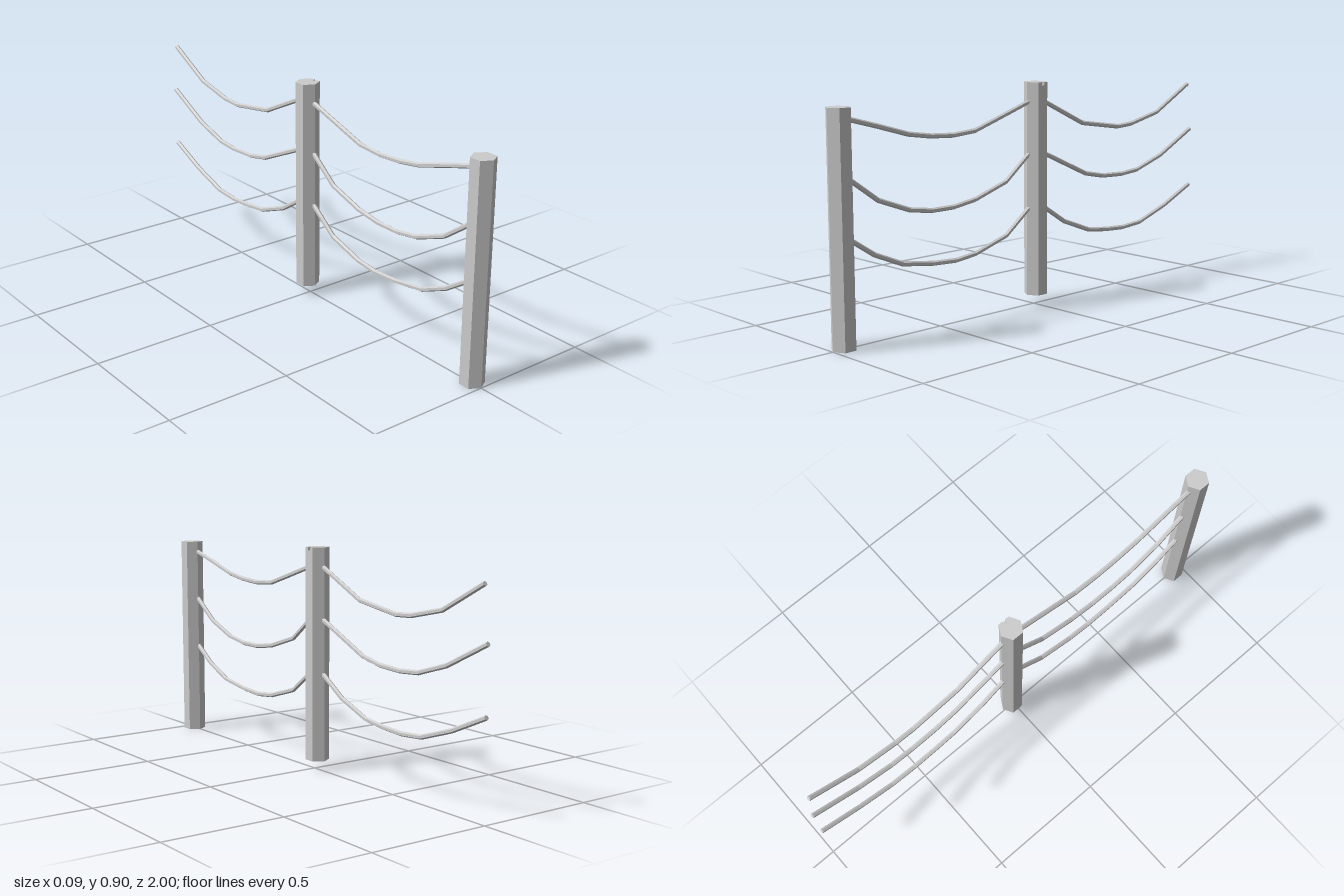
import * as THREE from 'three';

const WIRE_X = -0.003;
const WIRE_R = 0.0098;
const POST_R = 0.048;
const SIDES = 6;

const material = new THREE.MeshStandardMaterial({ color: 0xcccccc, flatShading: true });

// Sagging wires as [z, y] points, front to back
const frontWires = [
  [[0.93, 0.83], [0.778, 0.789], [0.639, 0.749], [0.532, 0.733], [0.425, 0.727], [0.313, 0.735], [0.168, 0.781], [0.01, 0.832]],
  [[0.93, 0.625], [0.783, 0.521], [0.639, 0.468], [0.532, 0.452], [0.425, 0.452], [0.313, 0.468], [0.152, 0.519], [0.02, 0.622]],
  [[0.93, 0.405], [0.805, 0.324], [0.676, 0.27], [0.527, 0.249], [0.414, 0.243], [0.313, 0.254], [0.152, 0.302], [0.02, 0.402]],
];
const backWires = [
  [[-0.03, 0.838], [-0.286, 0.719], [-0.505, 0.687], [-0.591, 0.692], [-0.762, 0.73], [-0.973, 0.842]],
  [[-0.03, 0.627], [-0.307, 0.505], [-0.414, 0.484], [-0.532, 0.479], [-0.634, 0.487], [-0.789, 0.535], [-0.995, 0.637]],
  [[-0.03, 0.412], [-0.179, 0.318], [-0.329, 0.262], [-0.436, 0.249], [-0.543, 0.243], [-0.655, 0.251], [-0.821, 0.305], [-0.995, 0.382]],
];

function addMesh(parent, name, geometry) {
  const mesh = new THREE.Mesh(geometry, material);
  mesh.name = name;
  parent.add(mesh);
  return mesh;
}

// Sweep a hexagon along a path in the z-y plane, closed at both ends
function wireGeometry(path) {
  const positions = [];
  const index = [];
  const pts = path.map(([z, y]) => new THREE.Vector2(z, y));
  const last = pts.length - 1;
  pts.forEach((p, i) => {
    const t = pts[Math.min(i + 1, last)].clone().sub(pts[Math.max(i - 1, 0)]).normalize();
    for (let k = 0; k < SIDES; k++) {
      const a = (k / SIDES) * Math.PI * 2;
      const up = Math.cos(a) * WIRE_R;
      positions.push(WIRE_X + Math.sin(a) * WIRE_R, p.y - t.x * up, p.x + t.y * up);
    }
  });
  for (let i = 0; i < last; i++) {
    for (let k = 0; k < SIDES; k++) {
      const a = i * SIDES + k;
      const b = i * SIDES + ((k + 1) % SIDES);
      index.push(a, b, a + SIDES, b, b + SIDES, a + SIDES);
    }
  }
  const end = last * SIDES;
  for (let k = 1; k < SIDES - 1; k++) {
    index.push(0, k + 1, k, end, end + k, end + k + 1);
  }
  const geometry = new THREE.BufferGeometry();
  geometry.setAttribute('position', new THREE.Float32BufferAttribute(positions, 3));
  geometry.setIndex(index);
  geometry.computeVertexNormals();
  return geometry;
}

function postShaft(height) {
  return new THREE.CylinderGeometry(POST_R, POST_R, height, SIDES).translate(0, height / 2, 0);
}

// Hexagonal slab with a small wedge cut into its +x face
function notchedCap(height) {
  const flat = POST_R * Math.cos(Math.PI / 6);
  const shape = new THREE.Shape();
  shape.moveTo(flat, -POST_R / 2);
  shape.lineTo(flat, -0.007);
  shape.lineTo(0.022, 0);
  shape.lineTo(flat, 0.007);
  for (let k = 0; k < 5; k++) {
    const a = Math.PI / 6 + (k * Math.PI) / 3;
    shape.lineTo(Math.cos(a) * POST_R, Math.sin(a) * POST_R);
  }
  shape.closePath();
  return new THREE.ExtrudeGeometry(shape, { depth: height, bevelEnabled: false }).rotateX(-Math.PI / 2);
}

export function createModel() {
  const model = new THREE.Group();
  model.name = 'wireFence';

  // Posts
  addMesh(model, 'frontPost', postShaft(0.87)).position.set(0.001, 0, 0.952);

  const middlePost = new THREE.Group();
  middlePost.name = 'middlePost';
  middlePost.position.set(-0.003, 0.04, -0.014);
  addMesh(middlePost, 'postShaft', postShaft(0.851));
  addMesh(middlePost, 'notchedTop', notchedCap(0.014)).position.y = 0.851;
  model.add(middlePost);

  // Wires
  frontWires.forEach((path, i) => addMesh(model, `frontWire${i + 1}`, wireGeometry(path)));
  backWires.forEach((path, i) => addMesh(model, `backWire${i + 1}`, wireGeometry(path)));
  return model;
}
